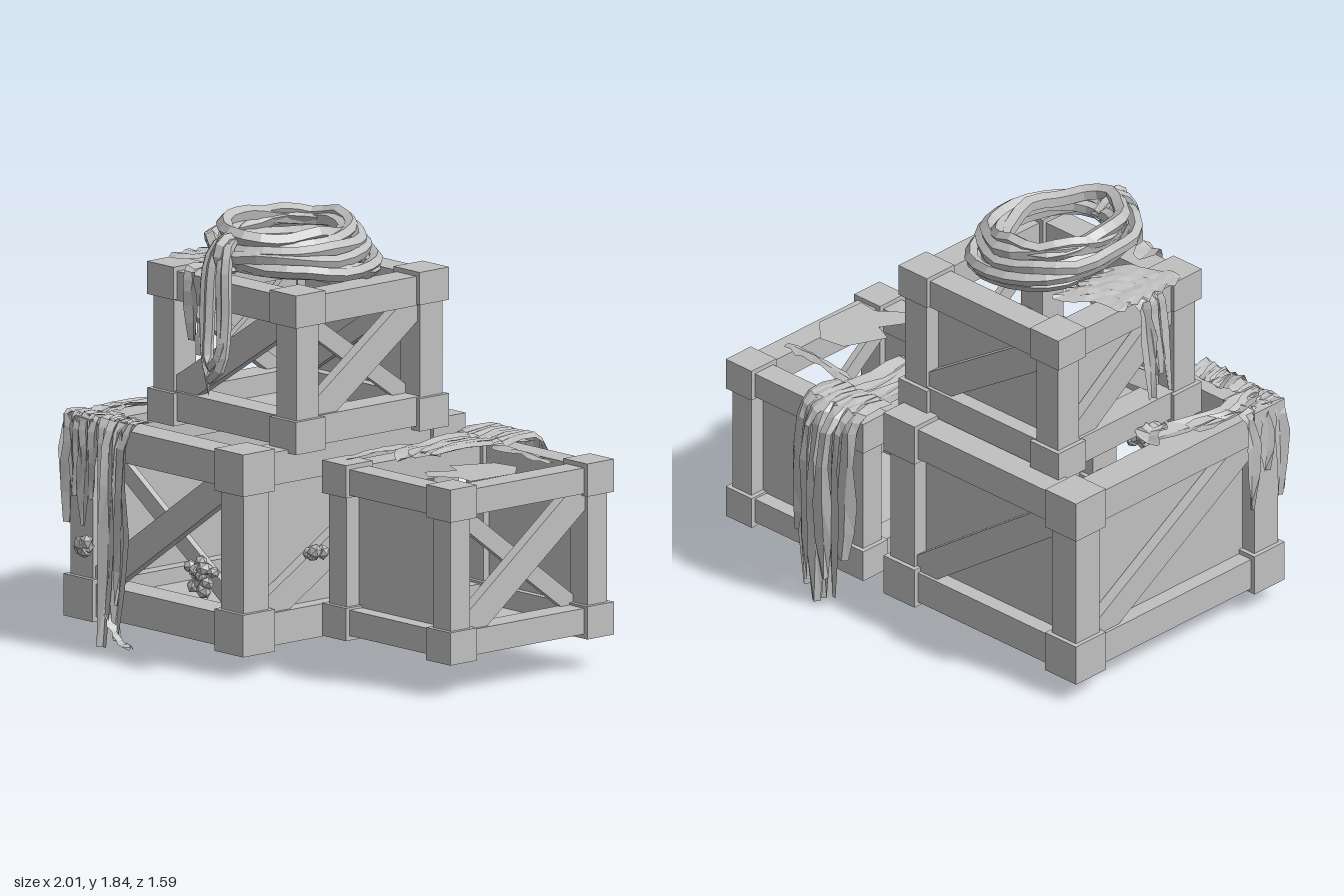
import * as THREE from 'three';

const weathered = new THREE.MeshStandardMaterial({ color: 0xc0c0c0, flatShading: true, side: THREE.DoubleSide });
weathered.name = 'weathered grey';

let seed = 7;
const rnd = () => (seed = (seed * 16807) % 2147483647) / 2147483647;
const jit = (a) => (rnd() - 0.5) * 2 * a;

function add(parent, name, geo, x = 0, y = 0, z = 0) {
  const m = new THREE.Mesh(geo, weathered);
  m.name = name;
  m.position.set(x, y, z);
  parent.add(m);
  return m;
}
const box = (parent, name, w, h, d, x, y, z) => add(parent, name, new THREE.BoxGeometry(w, h, d), x, y, z);
const flat = (pts) => new THREE.ShapeGeometry(new THREE.Shape(pts.map(([x, y]) => new THREE.Vector2(x, y))));

// Crate frame: corner blocks, edge beams, then braces and panels on each side
function crate(name, [x0, y0, z0], [x1, y1, z1], c, ch, faces, floorY, beam) {
  const g = new THREE.Group();
  g.name = name;
  const w = x1 - x0, h = y1 - y0, d = z1 - z0, s = [-1, 1], e = 0.02;
  g.position.set((x0 + x1) / 2, (y0 + y1) / 2, (z0 + z1) / 2);
  for (const a of s) for (const b of s) {
    for (const k of s)
      box(g, 'cornerBlock', c, ch, c, a * (w - c) / 2, k * (h - ch) / 2, b * (d - c) / 2);
    const bx = (w - beam) / 2 - e, by = (h - beam) / 2 - e, bz = (d - beam) / 2 - e;
    box(g, 'post', beam, h - ch, beam, a * bx, 0, b * bz);
    box(g, 'sideRail', beam, beam, d - c, a * bx, b * by, 0);
    box(g, 'crossRail', w - c, beam, beam, 0, a * by, b * bz);
  }
  box(g, 'floor', w - c, 0.01, d - c, 0, -h / 2 + floorY, 0);

  ['front', 'right', 'back', 'left'].forEach((side, i) => {
    const f = faces[side];
    const face = new THREE.Group();
    face.name = side + 'Face';
    face.rotation.y = i * Math.PI / 2;
    g.add(face);
    const fw = (i % 2 ? d : w) - 2 * beam, fh = h - 2 * beam, out = (i % 2 ? w : d) / 2;
    const len = Math.hypot(fw, fh), ang = Math.atan2(fh, fw);
    if (f.includes('/'))
      box(face, 'mainBrace', len, 0.125, 0.05, 0, 0, out - 0.06).rotation.z = ang;
    if (f.includes('\\'))
      box(face, 'crossBrace', len, 0.075, 0.03, 0, 0, out - 0.125).rotation.z = -ang;
    if (f.includes('P'))
      box(face, 'panel', fw + 0.06, fh + 0.06, 0.01, 0, 0, out - 0.095);
    if (f.includes('T')) // broken panel, only the upper half remains
      add(face, 'brokenPanel', flat([[-fw / 2, -fh / 2], [fw / 2, fh / 2], [-fw / 2, fh / 2]]), 0, 0, out - 0.095);
  });
  return g;
}

// Ragged ribbon along a path, folded down its middle and tapering to its end
function strip(parent, name, pts, width, side = [1, 0, 0], fold = 0.14) {
  const curve = new THREE.CatmullRomCurve3(pts.map((p) => new THREE.Vector3(...p)));
  const sv = new THREE.Vector3(...side).normalize(), n = 8, pos = [], idx = [];
  for (let i = 0; i <= n; i++) {
    const t = i / n, p = curve.getPoint(t);
    const nrm = curve.getTangent(t).cross(sv).normalize();
    const hw = width / 2 * (t > 0.8 ? 1 - (t - 0.8) * 3.5 : 0.8 + 0.2 * Math.sin(t * 9)) + jit(0.005);
    for (const k of [-1, 0, 1]) {
      const v = p.clone().addScaledVector(sv, k * hw + jit(0.006));
      v.addScaledVector(nrm, (k === 0 ? -width * fold : 0) + jit(0.005));
      pos.push(v.x, Math.max(v.y, 0), v.z);
    }
    if (i) for (const k of [0, 1]) {
      const a = (i - 1) * 3 + k;
      idx.push(a, a + 3, a + 1, a + 1, a + 3, a + 4);
    }
  }
  const geo = new THREE.BufferGeometry();
  geo.setAttribute('position', new THREE.Float32BufferAttribute(pos, 3));
  geo.setIndex(idx);
  geo.computeVertexNormals();
  add(parent, name, geo);
}

// Small cluster of faceted lumps
function cluster(parent, x, y, z, count, sx, sy, sz) {
  for (let i = 0; i < count; i++) {
    const a = i * 2.4, r = Math.sqrt((i + 0.5) / count);
    const m = add(parent, 'fungusCap', new THREE.IcosahedronGeometry(0.028 + rnd() * 0.012, 0),
      x + Math.cos(a) * r * sx, y + Math.sin(a) * r * sy, z + jit(sz));
    m.rotation.set(rnd() * 3, rnd() * 3, 0);
    m.scale.y = 0.8;
  }
}

function ropeCoil() {
  const g = new THREE.Group();
  g.name = 'ropeCoil';
  // [centre x, height, centre z, radius x, radius z, tilt along x, tilt along z]
  const loops = [
    [-0.22, 1.64, 0.0, 0.28, 0.33, -0.04, 0.07], [-0.24, 1.67, 0.01, 0.31, 0.35, -0.12, 0.06],
    [-0.24, 1.69, 0.03, 0.24, 0.31, -0.12, 0.05], [-0.27, 1.71, 0.04, 0.31, 0.34, -0.1, 0.02],
    [-0.25, 1.735, 0.03, 0.25, 0.31, -0.08, -0.04], [-0.28, 1.76, 0.0, 0.22, 0.27, -0.05, -0.13],
    [-0.29, 1.775, 0.04, 0.2, 0.28, -0.06, 0.03],
  ];
  loops.forEach(([cx, y, cz, rx, rz, tx, tz], i) => {
    const pts = [];
    for (let k = 0; k < 12; k++) {
      const a = k / 12 * Math.PI * 2, x = Math.cos(a) * rx, z = Math.sin(a) * rz;
      pts.push(new THREE.Vector3(cx + x + jit(0.016), y + tx * x + tz * z + jit(0.016), cz + z + jit(0.016)));
    }
    add(g, 'ropeLoop', new THREE.TubeGeometry(new THREE.CatmullRomCurve3(pts, true), 24, 0.035 - (i % 2) * 0.005, 5, true));
  });
  // Hanging bight over the front edge
  for (const [dx, low] of [[0, 1.2], [0.025, 1.25]]) {
    const path = [[-0.28, 1.72, 0.25], [-0.29, 1.78, 0.35], [-0.32 + dx, 1.7, 0.42], [-0.31 + dx, 1.4, 0.46], [-0.27, low + 0.04, 0.48],
      [-0.24, low, 0.49], [-0.19, low + 0.06, 0.48], [-0.19 - dx, 1.45, 0.45], [-0.22 - dx, 1.68, 0.42], [-0.26, 1.77, 0.35], [-0.27, 1.7, 0.25]];
    add(g, 'hangingRope', new THREE.TubeGeometry(new THREE.CatmullRomCurve3(path.map((p) => new THREE.Vector3(...p))), 26, 0.026, 5));
  }
  const knot = add(g, 'ropeKnot', new THREE.TorusGeometry(0.065, 0.028, 5, 10), -0.265, 1.71, 0.36);
  knot.rotation.y = Math.PI / 2;
  add(g, 'ropeTail', new THREE.ConeGeometry(0.02, 0.1, 5), -0.265, 1.17, 0.48).rotation.x = Math.PI;
  return g;
}

export function createModel() {
  const g = new THREE.Group();
  g.name = 'crateStack';
  g.add(
    crate('largeCrate', [-0.99, 0.09, -0.61], [0.13, 0.955, 0.64], 0.18, 0.18,
      { front: '/\\', right: '/P', back: '/\\P', left: '/P' }, 0.09, 0.14),
    crate('upperCrate', [-0.77, 0.92, -0.49], [0.16, 1.6, 0.37], 0.165, 0.14,
      { front: '/', right: '/\\', back: '/\\P', left: '/\\T' }, 0.05, 0.125),
    crate('smallCrate', [0.2, 0.14, -0.66], [1, 0.89, 0.26], 0.15, 0.14,
      { front: 'P', right: '/\\', back: 'P', left: '' }, 0.04, 0.11),
    ropeCoil(),
  );

  const ivy = new THREE.Group();
  ivy.name = 'raggedGrowth';
  g.add(ivy);

  // Long strands down the front of the large crate
  for (let i = 0; i < 6; i++) {
    const x = -0.71 + i * 0.026, low = [0.36, 0.18, 0.03, 0.1, 0.06, 0.22][i], out = (i % 3) * 0.025;
    strip(ivy, 'frontStrand', [[x - 0.02, 0.965, 0.52], [x, 0.975, 0.63], [x, 0.87, 0.665 + out / 2], [x + 0.02, 0.5, 0.67 + out], [x + 0.04, low, 0.71 + out]], 0.1, [1, 0, 0.25 * (i % 2 ? 1 : -1)]);
  }
  strip(ivy, 'curledTip', [[-0.62, 0.16, 0.71], [-0.54, 0.08, 0.74], [-0.43, 0.05, 0.77]], 0.08, [0, 0.3, 1]);
  for (let i = 0; i < 4; i++) {
    const x = -0.95 + i * 0.05;
    strip(ivy, 'shortStrand', [[x, 0.965, 0.53], [x, 0.965, 0.635], [x + 0.01, 0.82, 0.665], [x + 0.01, 0.5 + (i % 2) * 0.12, 0.67]], 0.09);
  }
  // Growth over the left edge of the large crate
  for (let i = 0; i < 3; i++) {
    const z = 0.42 + i * 0.085;
    strip(ivy, 'leftStrand', [[-0.88, 0.965, z], [-0.97, 0.965, z + 0.01], [-1, 0.88, z + 0.02], [-0.99, 0.5 + (i % 2) * 0.15, z + 0.03]], 0.09, [0, 0, 1]);
  }
  strip(ivy, 'topGrowth', [[-0.82, 0.965, 0.0], [-0.87, 0.97, 0.2], [-0.9, 0.97, 0.42], [-0.88, 0.965, 0.62]], 0.12);
  strip(ivy, 'topGrowth', [[-0.9, 0.965, 0.18], [-0.93, 0.97, 0.4], [-0.86, 0.97, 0.62]], 0.1);
  strip(ivy, 'topGrowth', [[-0.84, 0.965, -0.03], [-0.8, 0.985, 0.03], [-0.79, 0.97, 0.12]], 0.14);

  // Growth over the upper crate
  for (let i = 0; i < 5; i++) {
    const z = -0.16 + i * 0.075;
    strip(ivy, 'upperGrowth', [[-0.78, 1.605, z + 0.08], [-0.7, 1.61, z + 0.06], [-0.6, 1.615, z], [-0.5, 1.61, z - 0.08]], 0.12, [0.5, 0, 1], 0.06);
  }
  for (let i = 0; i < 3; i++) {
    const z = 0.0 + i * 0.05;
    strip(ivy, 'upperStrand', [[-0.7, 1.61, z], [-0.78, 1.6, z], [-0.8, 1.5, z + 0.01], [-0.83, 1.14 + (i % 2) * 0.1, z + 0.02]], 0.085, [0.3 * (i - 1), 0, 1]);
  }
  strip(ivy, 'edgeStrand', [[-0.52, 1.61, 0.25], [-0.5, 1.61, 0.37], [-0.48, 1.5, 0.39], [-0.47, 1.31, 0.39]], 0.1);

  // Drape over the small crate and down its back
  for (let i = 0; i < 8; i++) {
    const x = 0.25 + i * 0.036, low = [0.24, 0.06, 0.14, 0.02, 0, 0.1, 0.05, 0.3][i], out = (i % 3) * 0.035;
    strip(ivy, 'backStrand', [[x, 0.9, -0.48], [x, 0.915, -0.65], [x, 0.84, -0.69 - out], [x + 0.01, 0.5, -0.7 - out], [x + 0.01, low, -0.715 - out / 2]], 0.1, [1, 0, 0.45 * (i % 2 ? 1 : -1)]);
  }
  for (let i = 0; i < 3; i++)
    strip(ivy, 'topDrape', [[0.32 + i * 0.08, 0.9, -0.64], [0.28 + i * 0.07, 0.905, -0.36], [0.32 + i * 0.06, 0.9, -0.14], [0.42, 0.895, 0.03 - i * 0.08]], 0.14, [1, 0, 0], 0.08);
  strip(ivy, 'sideDrape', [[0.27, 0.9, -0.2], [0.25, 0.9, -0.02], [0.25, 0.89, 0.18]], 0.08, [1, 0, 0], 0.06);
  strip(ivy, 'looseScrap', [[0.5, 0.895, -0.44], [0.72, 0.9, -0.41], [0.9, 0.892, -0.4]], 0.07, [0, 0, 1]);
  const scrap = add(ivy, 'largeScrap', flat([[0.64, 0.06], [0.72, 0.24], [0.84, 0.26], [0.94, 0.16], [0.93, -0.08], [0.84, -0.07], [0.74, -0.15], [0.66, -0.1], [0.73, 0.02]]), 0, 0.89, 0);
  scrap.rotation.x = -Math.PI / 2;

  // Fungus on the large crate
  cluster(ivy, -0.07, 0.42, 0.69, 11, 0.09, 0.07, 0.03);
  cluster(ivy, -0.81, 0.42, 0.69, 5, 0.03, 0.03, 0.03);
  cluster(ivy, 0.17, 0.49, 0.27, 5, 0.025, 0.015, 0.04);
  return g;
}
